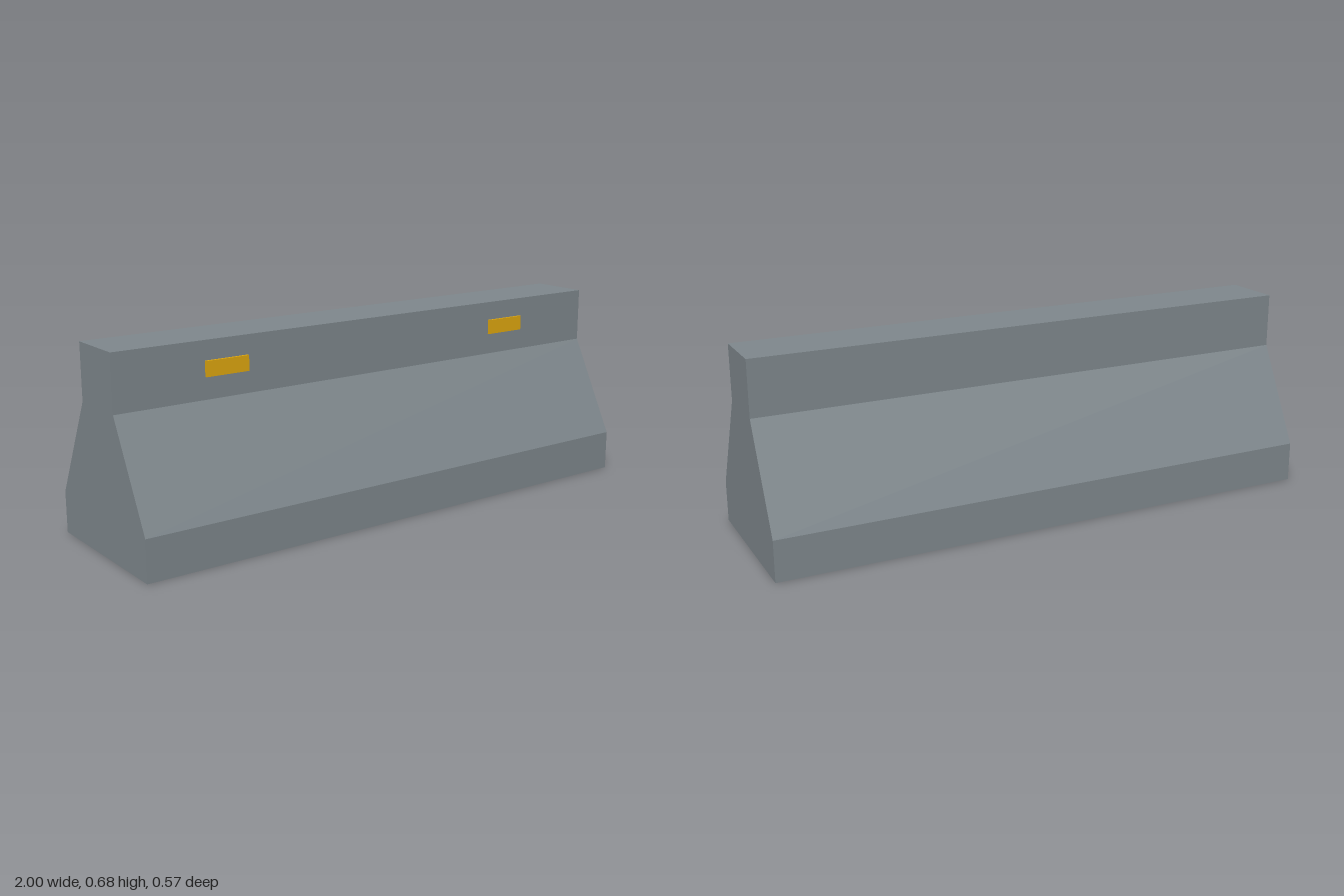
import * as THREE from 'three';

export function createModel() {
  const model = new THREE.Group();
  model.name = 'roadBarrier';

  const concrete = new THREE.MeshStandardMaterial({ color: 0x7f888d });
  concrete.name = 'concreteGrey';
  const amber = new THREE.MeshStandardMaterial({ color: 0xe0a80f });
  amber.name = 'reflectorAmber';

  // Barrier body: symmetric stepped profile, extruded along x
  const half = [[0.285, 0], [0.285, 0.143], [0.107, 0.486], [0.107, 0.679]];
  const mirrored = half.map(([z, y]) => [-z, y]).reverse();
  const profile = new THREE.Shape([...half, ...mirrored].map(([z, y]) => new THREE.Vector2(z, y)));
  const bodyGeometry = new THREE.ExtrudeGeometry(profile, { depth: 2, bevelEnabled: false });
  bodyGeometry.translate(0, 0, -1).rotateY(Math.PI / 2);
  const body = new THREE.Mesh(bodyGeometry, concrete);
  body.name = 'barrierBody';
  model.add(body);

  // Pair of reflectors on the upper front face
  const reflectorGeometry = new THREE.BoxGeometry(0.157, 0.052, 0.0095);
  for (const side of [-1, 1]) {
    const reflector = new THREE.Mesh(reflectorGeometry, amber);
    reflector.name = side > 0 ? 'leftReflector' : 'rightReflector';
    reflector.position.set(side * 0.6, 0.587, 0.112);
    model.add(reflector);
  }

  return model;
}
